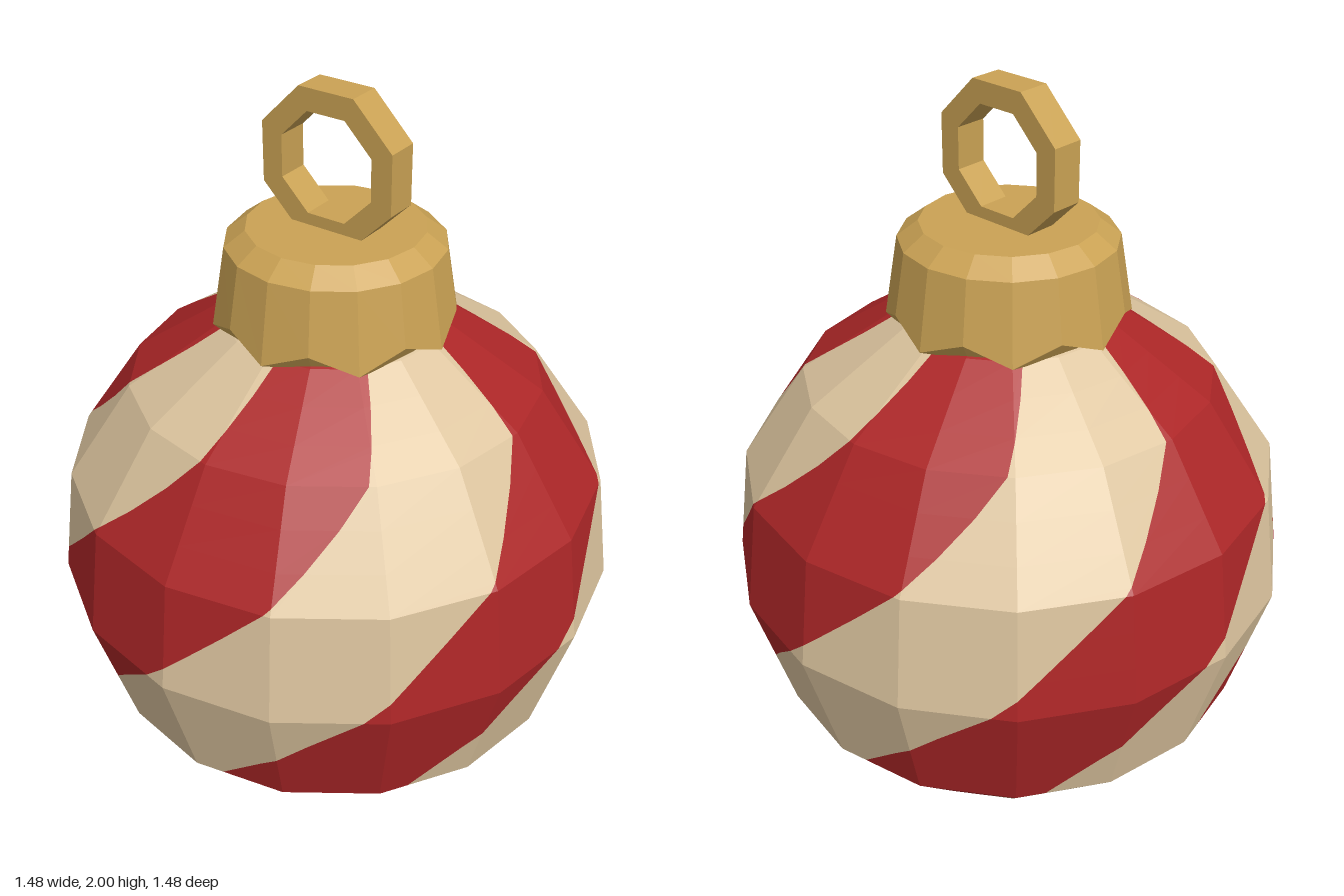
import * as THREE from 'three';

const SIDES = 16;
const STRIPE = 45; // degrees per stripe, four red and four cream

// Ball rings from bottom to top: [radius, height, stripe start angle in degrees]
const RINGS = [
  [0.001, 0, -112], [0.115, 0, -110], [0.43, 0.135, -101], [0.64, 0.357, -83], [0.74, 0.71, -50],
  [0.70, 1.005, -24], [0.53, 1.256, -2], [0.285, 1.42, 5], [0.15, 1.47, 8],
];

// Keep the part of a polygon of [s, t] points where sign * (s - limit) >= 0
function clip(poly, limit, sign) {
  const out = [];
  poly.forEach((p, i) => {
    const q = poly[(i + 1) % poly.length];
    const dp = sign * (p[0] - limit), dq = sign * (q[0] - limit);
    if (dp >= 0) out.push(p);
    if ((dp > 0 && dq < 0) || (dp < 0 && dq > 0)) {
      const k = dp / (dp - dq);
      out.push([limit, p[1] + (q[1] - p[1]) * k]);
    }
  });
  return out;
}

// Faceted ball, each flat facet cut along the spiral stripe edges
function stripeGeometries() {
  const positions = [[], []];
  const step = 360 / SIDES, rows = 3;
  for (let r = 0; r < RINGS.length - 1; r++) {
    const [r0, y0, a0] = RINGS[r], [r1, y1, a1] = RINGS[r + 1];
    for (let j = 0; j < SIDES; j++) {
      const start = j * step;
      const corner = (a) => [Math.sin(a * Math.PI / 180), Math.cos(a * Math.PI / 180)];
      const c0 = corner(start), c1 = corner(start + step);
      const shift = (t) => a0 + (a1 - a0) * t;
      const point = ([s, t]) => {
        const u = (s + shift(t) - start) / step;
        const rad = r0 + (r1 - r0) * t;
        return [rad * (c0[0] + (c1[0] - c0[0]) * u), y0 + (y1 - y0) * t,
          rad * (c0[1] + (c1[1] - c0[1]) * u)];
      };
      for (let row = 0; row < rows; row++) {
        const t0 = row / rows, t1 = (row + 1) / rows;
        const cell = [
          [start - shift(t0), t0], [start + step - shift(t0), t0],
          [start + step - shift(t1), t1], [start - shift(t1), t1],
        ];
        const s = cell.map((p) => p[0]);
        const first = Math.floor(Math.min(...s) / STRIPE), last = Math.floor(Math.max(...s) / STRIPE);
        for (let k = first; k <= last; k++) {
          const piece = clip(clip(cell, k * STRIPE, 1), (k + 1) * STRIPE, -1).map(point);
          const target = positions[Math.abs(k) % 2];
          for (let i = 1; i + 1 < piece.length; i++) target.push(...piece[0], ...piece[i], ...piece[i + 1]);
        }
      }
    }
  }
  return positions.map((list) => {
    const g = new THREE.BufferGeometry();
    g.setAttribute('position', new THREE.Float32BufferAttribute(list, 3));
    g.computeVertexNormals();
    return g;
  });
}

// Sixteen-sided cap with a scalloped lower edge
function capGeometry() {
  const profile = [[0, 1.41], [0.27, 1.41], [0.31, 1.413], [0.275, 1.62], [0.222, 1.66], [0, 1.66]]
    .map(([x, y]) => new THREE.Vector2(x, y));
  const g = new THREE.LatheGeometry(profile, SIDES);
  const p = g.attributes.position;
  for (let i = 1; i < SIDES; i += 2) {
    const v = i * profile.length + 2;
    p.setXYZ(v, p.getX(v) * 0.975, 1.46, p.getZ(v) * 0.975);
  }
  const flat = g.toNonIndexed();
  flat.computeVertexNormals();
  return flat;
}

// Octagonal hanging loop
function loopGeometry() {
  const octagon = (apothem) => Array.from({ length: 8 }, (_, i) => {
    const a = (i + 0.5) * Math.PI / 4, r = apothem / Math.cos(Math.PI / 8);
    return new THREE.Vector2(r * Math.cos(a), r * Math.sin(a));
  });
  const shape = new THREE.Shape(octagon(0.183));
  shape.holes.push(new THREE.Path(octagon(0.127)));
  return new THREE.ExtrudeGeometry(shape, { depth: 0.086, bevelEnabled: false }).translate(0, 1.817, -0.043);
}

export function createModel() {
  const material = (name, color) => {
    const m = new THREE.MeshStandardMaterial({ color, flatShading: true });
    m.name = name;
    return m;
  };
  const red = material('red', 0xac2627);
  const cream = material('cream', 0xdcc49e);
  const gold = material('gold', 0xcaa254);

  const model = new THREE.Group();
  model.name = 'ornament';
  const add = (name, geometry, mat, parent = model) => {
    const mesh = new THREE.Mesh(geometry, mat);
    mesh.name = name;
    parent.add(mesh);
  };

  const ball = new THREE.Group();
  ball.name = 'ball';
  const [redStripes, creamStripes] = stripeGeometries();
  add('redStripes', redStripes, red, ball);
  add('creamStripes', creamStripes, cream, ball);
  model.add(ball);

  add('cap', capGeometry(), gold);
  add('hangingLoop', loopGeometry(), gold);
  return model;
}
